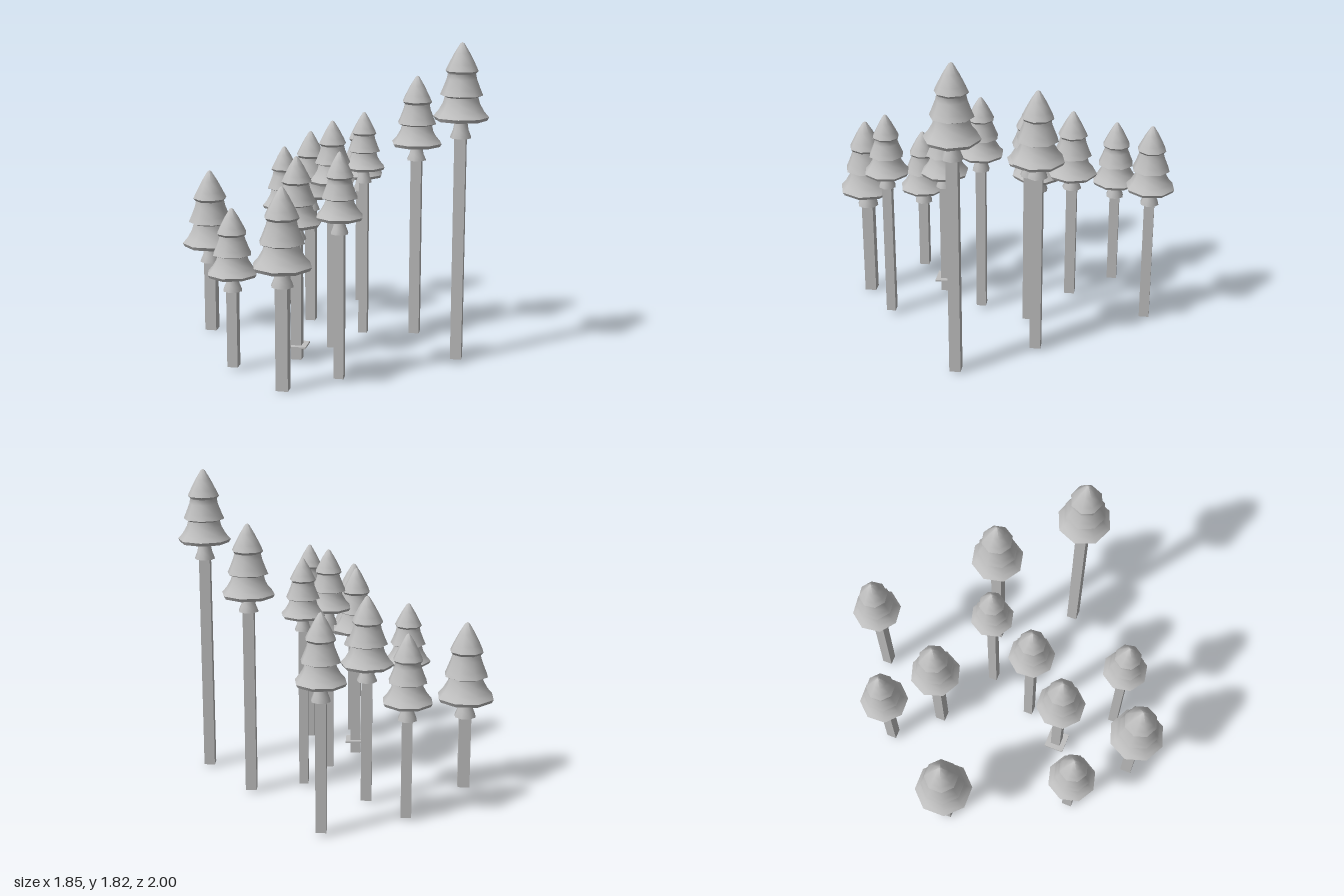
import * as THREE from 'three';
import { toCreasedNormals } from 'three/addons/utils/BufferGeometryUtils.js';

// x, z, apex height, crown base, collar base, post foot, crown radius, turn in degrees
const TREES = [
  [0.77, 0.15, 1.82, 1.39, 1.29, 0.01, 0.155, 0],
  [0.47, -0.26, 1.58, 1.165, 1.08, 0.015, 0.153, 10],
  [0.17, -0.175, 1.37, 1.03, 0.95, 0.025, 0.127, 8],
  [0.04, 0.12, 1.36, 1.0, 0.91, 0.02, 0.136, 18],
  [0.185, 0.645, 1.28, 0.915, 0.835, 0.025, 0.132, 12],
  [-0.115, 0.365, 1.195, 0.8, 0.72, 0.02, 0.145, 20],
  [-0.085, 0.835, 1.12, 0.675, 0.58, 0.005, 0.165, 5],
  [-0.435, 0.565, 0.93, 0.545, 0.46, 0.02, 0.145, 8],
  [-0.765, -0.12, 0.995, 0.53, 0.43, 0, 0.17, 22],
  [-0.425, -0.635, 1.065, 0.67, 0.58, 0.02, 0.143, 20],
  [-0.2, -0.39, 1.21, 0.805, 0.72, 0.015, 0.15, 5],
  [0.03, -0.86, 1.235, 0.845, 0.755, 0.02, 0.143, 15],
];

// Radius and height as fractions, from the bottom centre up to the tip
const CROWN = [[0, 0], [0.93, 0], [1, 0.045], [0.82, 0.12], [0.66, 0.22], [0.6, 0.3],
  [0.77, 0.325], [0.68, 0.4], [0.54, 0.53], [0.5, 0.6], [0.59, 0.635], [0.48, 0.72],
  [0.28, 0.86], [0.08, 0.98], [0, 1]];
const COLLAR = [[0, 0], [0.38, 0], [0.37, 0.1], [0.28, 0.45], [0.22, 1]];

function lathe(profile, radius, height) {
  const points = profile.map(([r, y]) => new THREE.Vector2(r * radius, y * height));
  return toCreasedNormals(new THREE.LatheGeometry(points, 8), 0.9);
}

export function createModel() {
  const grey = new THREE.MeshStandardMaterial({ color: 0xbfbfbf });
  grey.name = 'grey';
  const model = new THREE.Group();
  model.name = 'postTrees';

  const add = (parent, name, geometry, y) => {
    const mesh = new THREE.Mesh(geometry, grey);
    mesh.name = name;
    mesh.position.y = y;
    parent.add(mesh);
    return mesh;
  };

  TREES.forEach(([x, z, apex, base, collar, foot, radius, turn], i) => {
    const tree = new THREE.Group();
    tree.name = 'tree' + (i + 1);
    tree.position.set(x, 0, z);
    model.add(tree);

    // Three-tiered crown, flared collar and square post
    const angle = THREE.MathUtils.degToRad(-turn);
    add(tree, 'crown', lathe(CROWN, radius, apex - base), base).rotation.y = angle;
    add(tree, 'collar', lathe(COLLAR, radius, base - collar), collar).rotation.y = angle;
    const width = radius * 0.41;
    const height = collar - foot;
    add(tree, 'post', new THREE.BoxGeometry(width, height, width), foot + height / 2);

    // Thin square ledge low on one post
    if (i === 5) add(tree, 'ledge', new THREE.BoxGeometry(0.12, 0.01, 0.12), 0.1);
  });
  return model;
}
